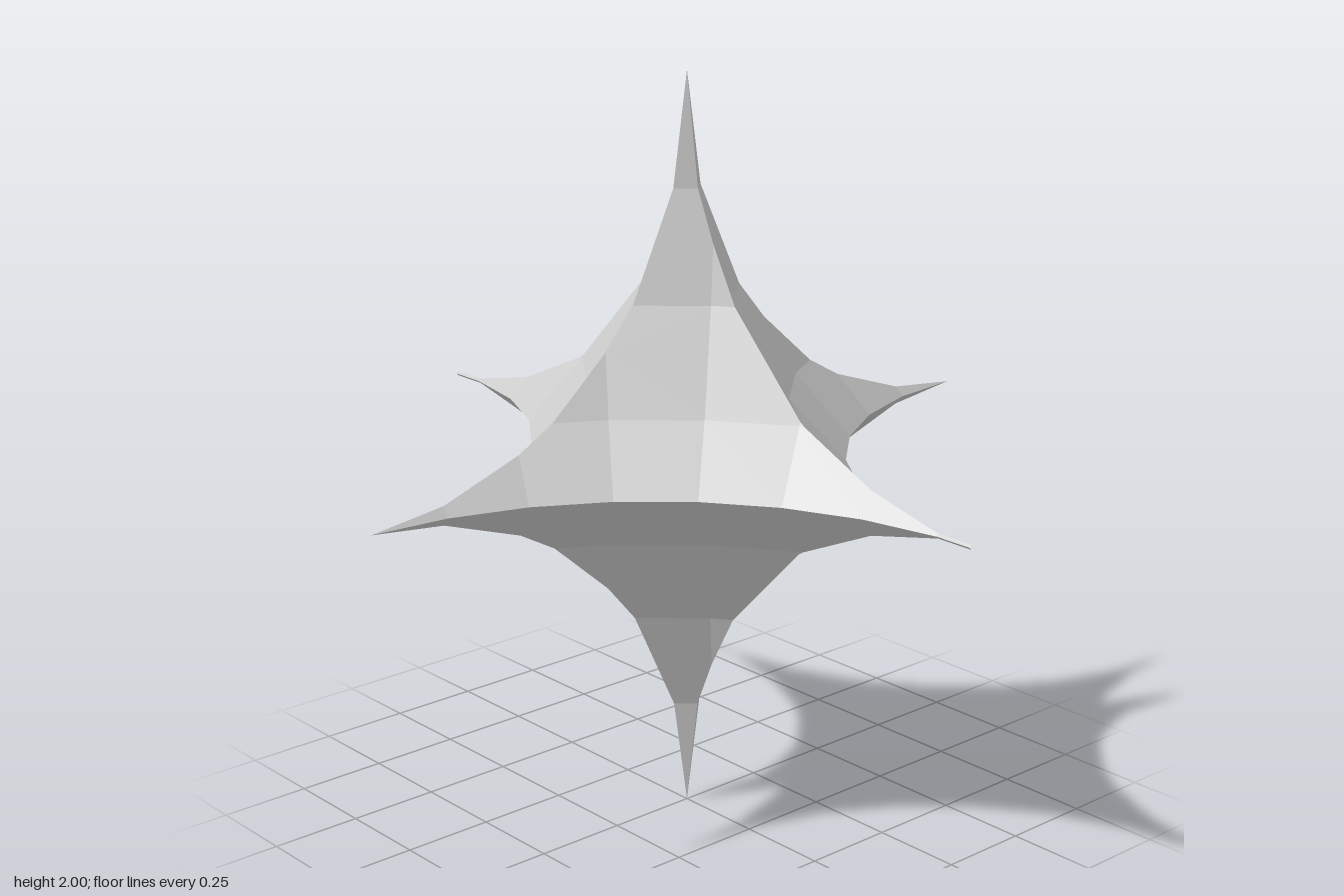
import * as THREE from 'three';

const STEP = THREE.MathUtils.degToRad(12); // facet angle of the carving spheres
const RADIUS = 1.42;

// Point on a faceted sphere centred on the corner (1, 1, 1)
function spherePoint(ring, column) {
  const e = ring * STEP, a = column * STEP;
  const r = RADIUS * Math.cos(e);
  return [1 - r * Math.cos(a), 1 - RADIUS * Math.sin(e), 1 - r * Math.sin(a)];
}

// Keep the part of a polygon where sign * p[axis] >= sign * limit
function clip(polygon, axis, limit, sign) {
  const out = [];
  polygon.forEach((p, i) => {
    const q = polygon[(i + 1) % polygon.length];
    const dp = sign * (p[axis] - limit), dq = sign * (q[axis] - limit);
    if (dp >= 0) out.push(p);
    if (dp * dq < 0) {
      const t = dp / (dp - dq);
      out.push(p.map((v, k) => v + (q[k] - v) * t));
    }
  });
  return out;
}

// Facets of one hollow side, trimmed to the unit cube of its octant
function hollowFacets() {
  const facets = [];
  for (let ring = 0; ring < 5; ring++) {
    for (let col = 0; col < 8; col++) {
      let poly = [
        spherePoint(ring, col), spherePoint(ring + 1, col),
        spherePoint(ring + 1, col + 1), spherePoint(ring, col + 1),
      ];
      for (let axis = 0; axis < 3; axis++) {
        poly = clip(clip(poly, axis, 0, 1), axis, 1, -1);
      }
      if (poly.length > 2) facets.push(poly);
    }
  }
  return facets;
}

// Mirror the facets into an octant; odd mirrorings flip the corner order
function octantGeometry(facets, sx, sy, sz) {
  const positions = [];
  const flip = sx * sy * sz < 0;
  const add = ([x, y, z]) => positions.push(sx * x, sy * y, sz * z);
  for (const poly of facets) {
    for (let i = 1; i < poly.length - 1; i++) {
      add(poly[0]);
      add(poly[flip ? i + 1 : i]);
      add(poly[flip ? i : i + 1]);
    }
  }
  const geometry = new THREE.BufferGeometry();
  geometry.setAttribute('position', new THREE.Float32BufferAttribute(positions, 3));
  geometry.computeVertexNormals();
  return geometry;
}

export function createModel() {
  const model = new THREE.Group();
  model.name = 'sixPointedStar';
  const material = new THREE.MeshStandardMaterial({ color: 0xcccccc, flatShading: true });
  const facets = hollowFacets();

  // Eight concave sides meet in ridges and six spikes
  for (const sy of [1, -1]) {
    for (const sz of [1, -1]) {
      for (const sx of [1, -1]) {
        const side = new THREE.Mesh(octantGeometry(facets, sx, sy, sz), material);
        side.name = (sy > 0 ? 'upper' : 'lower') + (sz > 0 ? 'Front' : 'Back') +
          (sx > 0 ? 'Left' : 'Right') + 'Hollow';
        side.position.y = 1;
        model.add(side);
      }
    }
  }
  return model;
}
